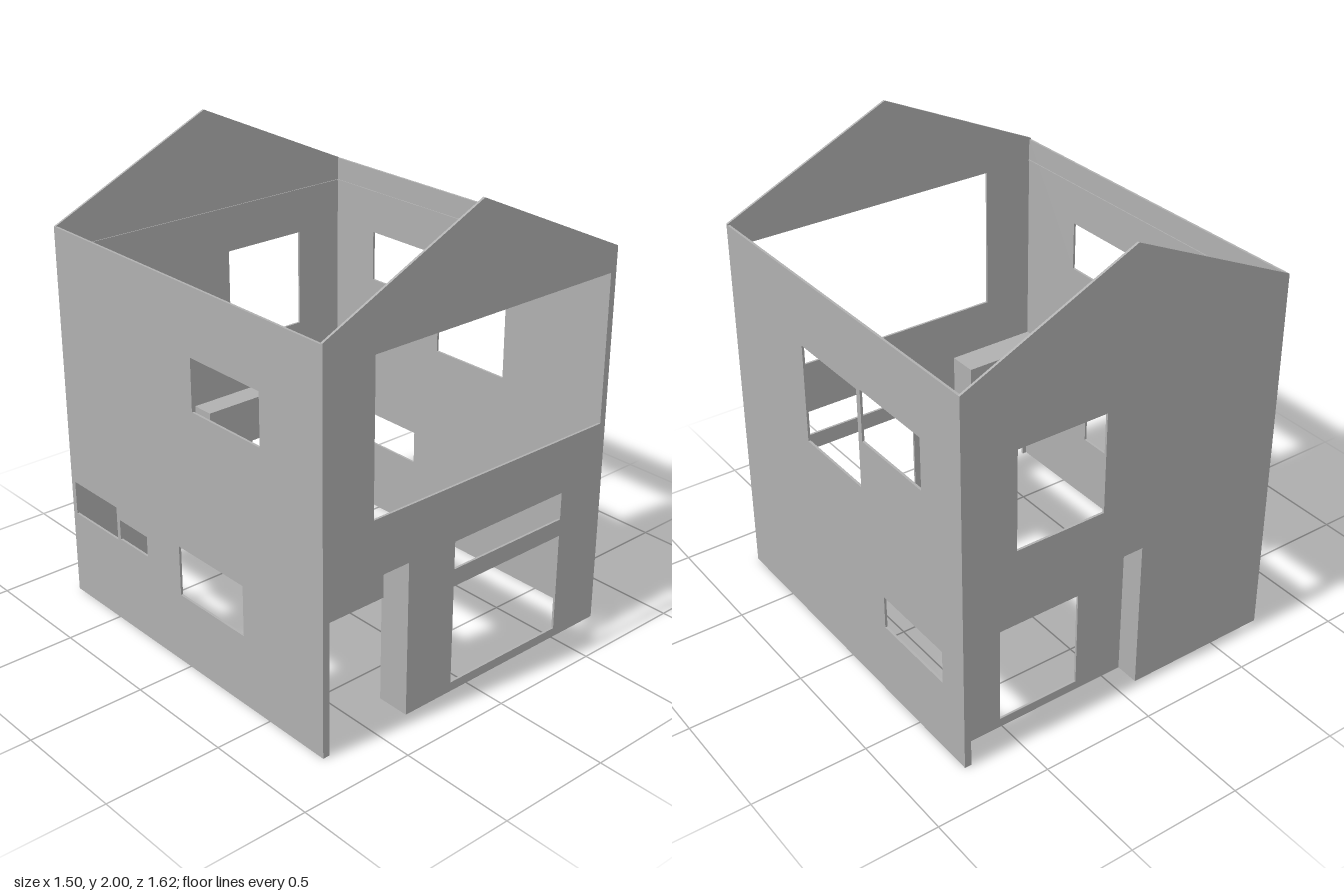
import * as THREE from 'three';

const T = 0.01;                       // wall thickness
const X = 0.75, Z = 0.81;             // half width and half depth
const EAVE = 1.655, RIDGE = 2;
const PORCH = 0.67;                   // porch ceiling height

const plaster = new THREE.MeshStandardMaterial({ color: 0xb0b0b0 });
plaster.name = 'plaster grey';

// Upright panel in the XY plane, extruded by T, with [u0, u1, v0, v1] openings
function panel(name, outline, openings) {
  const shape = new THREE.Shape(outline.map(([u, v]) => new THREE.Vector2(u, v)));
  for (const [u0, u1, v0, v1] of openings) {
    shape.holes.push(new THREE.Path([
      new THREE.Vector2(u0, v0), new THREE.Vector2(u0, v1),
      new THREE.Vector2(u1, v1), new THREE.Vector2(u1, v0),
    ]));
  }
  const mesh = new THREE.Mesh(
    new THREE.ExtrudeGeometry(shape, { depth: T, bevelEnabled: false }), plaster);
  mesh.name = name;
  return mesh;
}

// Box given by its limits on each axis
function block(name, [x0, x1], [y0, y1], [z0, z1]) {
  const mesh = new THREE.Mesh(new THREE.BoxGeometry(x1 - x0, y1 - y0, z1 - z0), plaster);
  mesh.position.set((x0 + x1) / 2, (y0 + y1) / 2, (z0 + z1) / 2);
  mesh.name = name;
  return mesh;
}

// Gabled outline with a doorway notch cut up from the ground
const gable = (d0, d1) => [
  [-X, 0], [d0, 0], [d0, PORCH], [d1, PORCH], [d1, 0],
  [X, 0], [X, EAVE], [0, RIDGE], [-X, EAVE],
];

export function createModel() {
  const house = new THREE.Group();
  house.name = 'house shell';

  // Gable walls
  const front = panel('frontWall', gable(-0.72, -0.33), [
    [-0.51, 0.72, 0.91, 1.55],
    [-0.09, 0.51, 0.55, PORCH],
    [-0.09, 0.51, 0.04, 0.475],
  ]);
  front.position.z = Z - T;
  const back = panel('backWall', gable(-0.09, 0.72), [[0.11, 0.51, 0.92, 1.355]]);
  back.position.z = -Z;
  house.add(front, back);

  // Side walls: u runs along -z after the turn
  const D = Z - T;
  const side = [[-D, 0], [D, 0], [D, EAVE], [-D, EAVE - 0.005]];
  const left = panel('leftWall', side, [
    [-0.255, 0.14, 0.92, 1.355],
    [0.165, 0.56, 1.14, 1.365],
    [0.27, 0.67, 0.325, 0.475],
  ]);
  left.rotation.y = Math.PI / 2;
  left.position.x = X - T;
  const right = panel('rightWall', side, [
    [-0.47, -0.07, 1.15, 1.37],
    [-0.35, 0.05, 0.31, 0.53],
    [0.27, 0.46, 0.39, 0.48],
    [0.48, 0.785, 0.38, 0.53],
  ]);
  right.rotation.y = Math.PI / 2;
  right.position.x = -X;
  house.add(left, right);

  // Front porch: ceiling, cheek and lintel over the open doorway
  const inner = X - T;
  house.add(
    block('frontPorchCeiling', [-inner, -0.33], [PORCH, PORCH + T], [0.665, D]),
    block('frontPorchCheek', [-0.33, -0.32], [0, PORCH + T], [0.665, D]),
    block('frontPorchLintel', [-inner, -0.33], [0.46, PORCH], [0.665, 0.675]),
  );

  // Back porch: ceiling, cheek and set-back wall with a window
  const recess = panel('backPorchWall',
    [[-0.1, 0], [inner, 0], [inner, PORCH], [-0.1, PORCH]], [[0.135, 0.51, 0.04, 0.475]]);
  recess.position.z = -0.705;
  house.add(
    recess,
    block('backPorchCeiling', [-0.1, inner], [PORCH, PORCH + T], [-D, -0.695]),
    block('backPorchCheek', [-0.1, -0.09], [0, PORCH], [-D, -0.705]),
  );

  // Thin ceiling ledges inside the walls
  const ledgeY = [1.55, 1.556];
  house.add(
    block('backLedge', [-inner, inner], ledgeY, [-D, -D + 0.004]),
    block('rightLedge', [-inner, -inner + 0.004], ledgeY, [-D, D]),
    block('leftLedge', [inner - 0.004, inner], ledgeY, [-D, D]),
  );
  return house;
}
